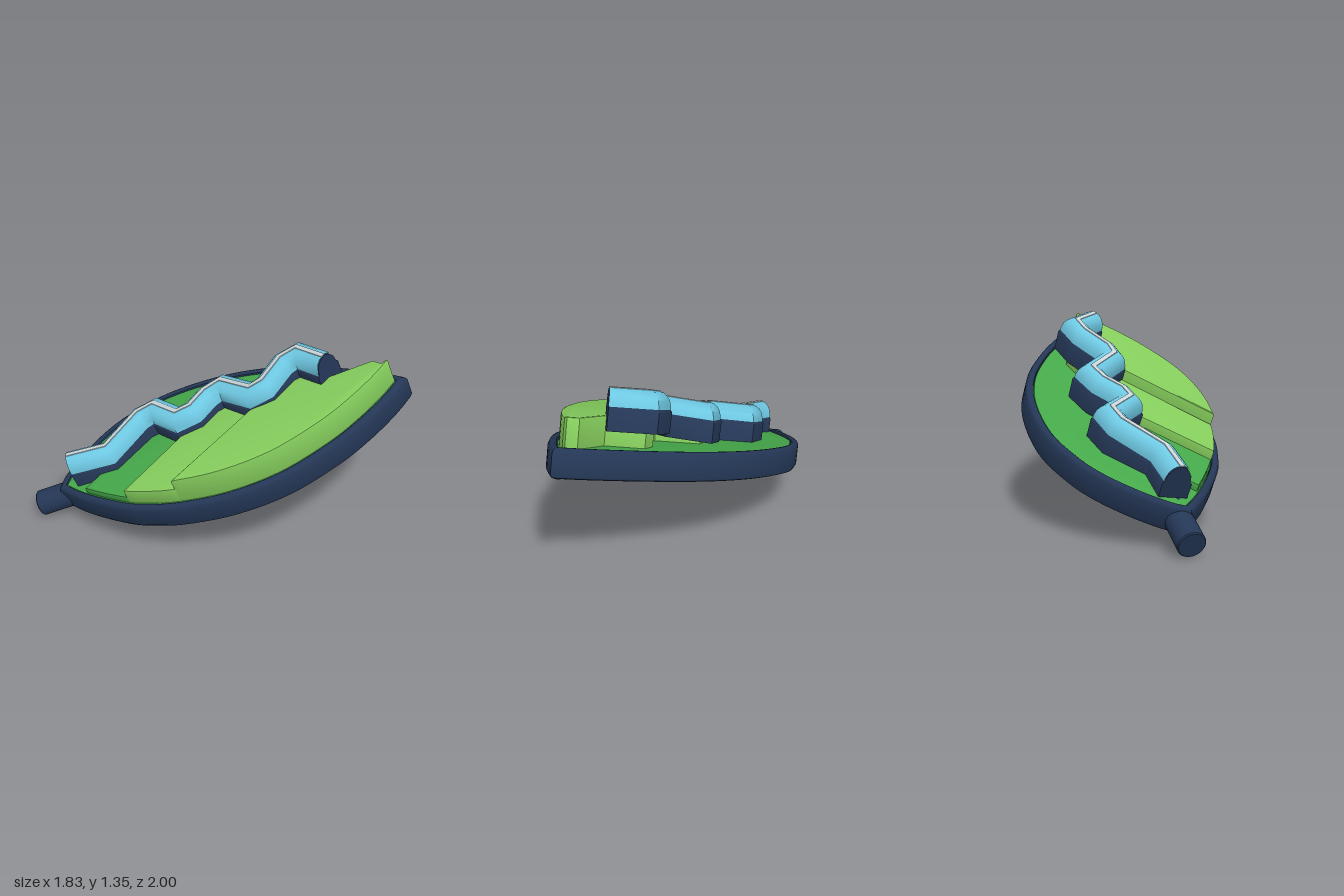
import * as THREE from 'three';
import { toCreasedNormals } from 'three/addons/utils/BufferGeometryUtils.js';

const mat = (name, color) => Object.assign(new THREE.MeshStandardMaterial({ color }), { name });

// Slope of the leaf plane: y = A x + B z + C
const A = 0.14, B = -0.385, C = 0.695;
const L = Math.hypot(1, A, B);
const N = new THREE.Vector3(-A, 1, -B).normalize();
const U = new THREE.Vector3(1, A, 0).normalize();
const V = new THREE.Vector3().crossVectors(N, U);

// Point (x, z) at height h over the leaf plane, in the leaf's own frame
function toLeaf(x, z, h = 0) {
  const p = new THREE.Vector3(x, A * x + B * z + h * L, z);
  return new THREE.Vector3(p.dot(U), p.dot(V), h);
}

// Shift a polyline to its left by d, with mitred corners
function offset(pts, d, closed) {
  const n = pts.length;
  const normal = (i, j) => new THREE.Vector2(pts[i].y - pts[j].y, pts[j].x - pts[i].x).normalize();
  return pts.map((p, i) => {
    const hasPrev = closed || i > 0, hasNext = closed || i < n - 1;
    const n2 = hasNext ? normal(i, (i + 1) % n) : normal(i - 1, i);
    const n1 = hasPrev ? normal((i + n - 1) % n, i) : n2;
    const k = d / (1 + n1.dot(n2));
    return new THREE.Vector2(p.x + (n1.x + n2.x) * k, p.y + (n1.y + n2.y) * k);
  });
}

// Skin a row of closed rings
function loft(rings, caps, crease) {
  const m = rings[0].length, pos = [], idx = [];
  rings.forEach(r => r.forEach(p => pos.push(p.x, p.y, p.z)));
  for (let i = 0; i < rings.length - 1; i++) {
    for (let j = 0; j < m; j++) {
      const a = i * m + j, b = i * m + (j + 1) % m;
      idx.push(a, b, b + m, a, b + m, a + m);
    }
  }
  if (caps) {
    [0, rings.length - 1].forEach((ri, end) => {
      const c = new THREE.Vector3();
      rings[ri].forEach(p => c.addScaledVector(p, 1 / m));
      const ci = pos.length / 3;
      pos.push(c.x, c.y, c.z);
      for (let j = 0; j < m; j++) {
        const a = ri * m + j, b = ri * m + (j + 1) % m;
        if (end) idx.push(ci, a, b); else idx.push(ci, b, a);
      }
    });
  }
  const g = new THREE.BufferGeometry();
  g.setAttribute('position', new THREE.Float32BufferAttribute(pos, 3));
  g.setIndex(idx);
  return toCreasedNormals(g, crease);
}

// Sweep a symmetric section along a path; half lists [sideways, height] from the bottom up
function sweep(path, half, caps) {
  const section = [...half, ...half.map(([s, h]) => [-s, h]).reverse()];
  const rails = section.map(([s]) => offset(path, s, false));
  const rings = path.map((p, i) => section.map(([, h], k) =>
    new THREE.Vector3(rails[k][i].x, rails[k][i].y, p.z + h)));
  return loft(rings, caps, 1);
}

// Flat-topped slab between two heights with softened edges
function slab(pts, bottom, top, bevel) {
  const g = new THREE.ExtrudeGeometry(new THREE.Shape(pts.map(p => new THREE.Vector2(p.x, p.y))), {
    depth: top - bottom - 2 * bevel, bevelSize: bevel, bevelThickness: bevel,
    bevelOffset: -bevel, bevelSegments: 2, steps: 1,
  });
  g.translate(0, 0, bottom + bevel);
  return toCreasedNormals(g, 0.5);
}

export function createModel() {
  const navy = mat('navy', 0x243756);
  const green = mat('leaf green', 0x45a84a);
  const lime = mat('light green', 0x84cc5c);
  const cyan = mat('sky blue', 0x6ec8e2);
  const silver = mat('pale grey', 0xc8d4d8);

  const model = new THREE.Group();
  model.name = 'leaf';
  const leaf = new THREE.Group();
  leaf.name = 'tiltedLeaf';
  leaf.quaternion.setFromRotationMatrix(new THREE.Matrix4().makeBasis(U, V, N));
  leaf.position.y = C;
  model.add(leaf);
  const add = (name, geometry, material) => {
    const mesh = new THREE.Mesh(geometry, material);
    mesh.name = name;
    leaf.add(mesh);
    return mesh;
  };

  // Leaf outline: front edge from base to tip, then the back edge home
  const spline = pts => new THREE.SplineCurve(pts.map(p => new THREE.Vector2(...p))).getPoints(60);
  const front = spline([[-0.71, 0.87], [-0.45, 0.85], [-0.1, 0.775], [0.1, 0.695], [0.3, 0.58], [0.55, 0.365],
    [0.75, 0.08], [0.858, -0.25], [0.89, -0.5], [0.886, -0.75], [0.855, -0.943]]);
  const back = spline([[0.855, -0.943], [0.585, -0.908], [0.215, -0.817], [-0.155, -0.677], [-0.475, -0.465],
    [-0.735, -0.175], [-0.85, 0.1], [-0.88, 0.317], [-0.85, 0.555], [-0.785, 0.76], [-0.71, 0.87]]);
  const outline = [...front, ...back.slice(1, -1)].map(p => toLeaf(p.x, p.y));

  // Tray with a rounded rim: [inset, height] profile
  const profile = [[0.06, -0.19], [0.035, -0.19], [0.012, -0.182], [0, -0.16], [0, -0.03], [0.008, -0.01],
    [0.025, 0], [0.04, 0], [0.052, -0.008], [0.056, -0.03], [0.056, -0.06]];
  add('trayAndRim', loft(profile.map(([d, h]) =>
    offset(outline, d, true).map(p => new THREE.Vector3(p.x, p.y, h))), true, 0.7), navy);

  // Leaf floor
  add('leafFloor', slab(offset(outline, 0.058, true), -0.07, -0.015, 0.006), green);

  // Stem
  const s0 = toLeaf(-0.855, 0.935, -0.122), s1 = toLeaf(-0.55, 0.62, -0.1);
  const len = s0.distanceTo(s1);
  const stem = add('stem', toCreasedNormals(new THREE.LatheGeometry([[0, -len / 2], [0.085, -len / 2],
    [0.092, -len / 2 + 0.008], [0.092, len / 2], [0, len / 2]].map(p => new THREE.Vector2(...p)), 32), 0.6), navy);
  stem.position.copy(s0).lerp(s1, 0.5);
  stem.quaternion.setFromUnitVectors(new THREE.Vector3(0, 1, 0), s1.clone().sub(s0).normalize());

  // Zigzag vein, given by its crest (x, z, height)
  const path = [[-0.695, 0.795, 0.21], [-0.505, 0.59, 0.195], [-0.53, 0.29, 0.23], [-0.47, 0.185, 0.24],
    [-0.215, 0.185, 0.245], [-0.165, 0.1, 0.25], [-0.18, -0.04, 0.26], [-0.135, -0.15, 0.27],
    [0.165, -0.15, 0.295], [0.21, -0.22, 0.31], [0.19, -0.4, 0.345], [0.245, -0.5, 0.358],
    [0.5, -0.5, 0.355]].map(p => toLeaf(...p));
  add('veinBase', sweep(path, [[0.097, -0.265], [0.1, -0.125], [0.084, -0.105], [0.078, -0.065],
    [0.05, -0.026], [0.015, -0.006]], true), navy);
  add('veinTop', sweep(path, [[0.092, -0.112], [0.09, -0.09], [0.08, -0.053], [0.062, -0.025],
    [0.04, -0.008], [0.015, 0]], false), cyan);
  add('veinHighlight', sweep(path, [[0.018, -0.003], [0.016, 0.004]], true), silver);

  // Raised steps between the vein and the front rim
  const edge = offset(outline, 0.066, true).slice(0, front.length - 2);
  const arc = (x0, x1) => {
    const i0 = front.findIndex(p => p.x >= x0), i1 = front.findIndex(p => p.x >= x1);
    return edge.slice(i0, i1 < 0 ? edge.length : i1 + 1);
  };
  const vein = (from, to) => path.slice(to, from + 1).reverse();
  add('lowStep', slab([...arc(-0.47, -0.09), ...vein(5, 1)], -0.03, 0.035, 0.01), green);
  add('middleStep', slab([...arc(-0.09, 0.3), ...vein(9, 5)], -0.03, 0.1, 0.012), lime);
  add('highStep', slab([...arc(0.3, 9), toLeaf(0.785, -0.845), toLeaf(0.71, -0.845), ...vein(12, 9)],
    -0.03, 0.178, 0.012), lime);

  return model;
}
